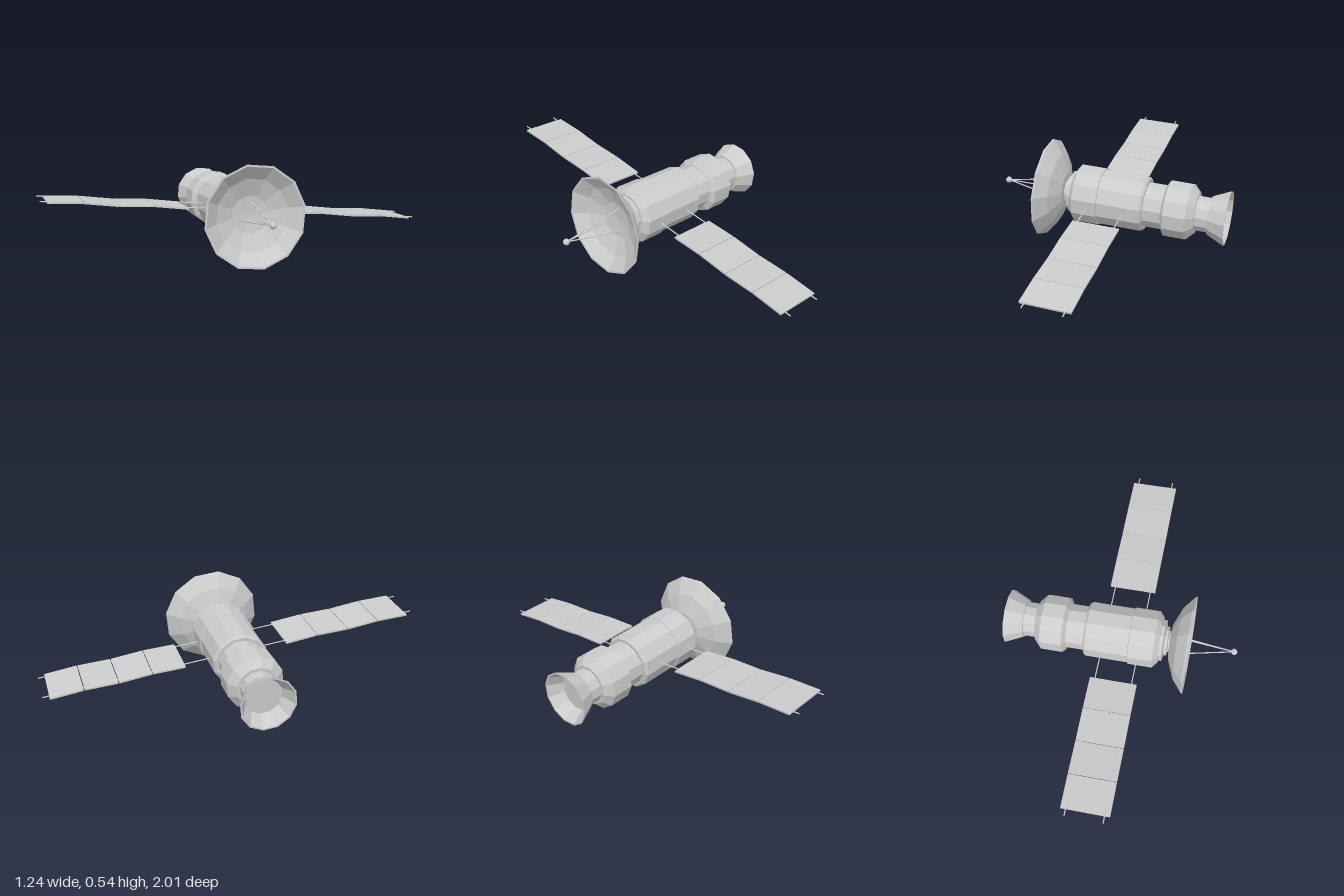
import * as THREE from 'three';

const SIDES = 12;

export function createModel() {
  const root = new THREE.Group();
  root.name = 'satellite';
  const mat = new THREE.MeshStandardMaterial({ color: 0xcccccc, flatShading: true });

  // Craft frame: local x = long axis, z = panel axis
  const axis = new THREE.Vector3(0.926, 0.053, 0.374).normalize();
  const span = new THREE.Vector3(-0.378, 0.104, 0.92);
  span.addScaledVector(axis, -span.dot(axis)).normalize();
  const up = new THREE.Vector3().crossVectors(span, axis);
  const craft = new THREE.Group();
  craft.name = 'craft';
  craft.quaternion.setFromRotationMatrix(new THREE.Matrix4().makeBasis(axis, up, span));
  craft.position.set(0.039, 0.255, -0.002);
  root.add(craft);

  const add = (name, geometry, parent = craft) => {
    const mesh = new THREE.Mesh(geometry, mat);
    mesh.name = name;
    parent.add(mesh);
    return mesh;
  };

  // Faceted solid of revolution along local x; profile holds [radius, x]
  const turned = (name, profile) => {
    const points = profile.map(([r, x]) => new THREE.Vector2(r, x));
    const g = new THREE.LatheGeometry(points, SIDES, Math.PI / SIDES);
    g.rotateZ(-Math.PI / 2);
    return add(name, g);
  };

  // Thin round bar between two points
  const rod = (name, a, b, radius) => {
    const dir = new THREE.Vector3().subVectors(b, a);
    const mesh = add(name, new THREE.CylinderGeometry(radius, radius, dir.length(), 6));
    mesh.position.copy(a).add(b).multiplyScalar(0.5);
    mesh.quaternion.setFromUnitVectors(new THREE.Vector3(0, 1, 0), dir.normalize());
    return mesh;
  };

  // Hull, from engine to dish
  turned('engineBell', [[0, -0.575], [0.1, -0.575], [0.142, -0.652], [0.151, -0.652], [0.106, -0.555], [0, -0.555]]);
  turned('engineNeck', [[0.096, -0.56], [0.096, -0.48]]);
  turned('rearModule', [[0, -0.485], [0.112, -0.485], [0.155, -0.445], [0.155, -0.325], [0.128, -0.308], [0, -0.308]]);
  turned('middleModule', [[0.124, -0.312], [0.124, -0.2]]);
  turned('mainModule', [[0, -0.208], [0.14, -0.208], [0.153, -0.195], [0.153, 0.045]]);
  turned('frontModule', [[0.15, 0.04], [0.16, 0.044], [0.16, 0.178], [0.128, 0.203], [0, 0.203]]);
  turned('frontCollar', [[0.115, 0.2], [0.115, 0.222], [0.085, 0.228], [0, 0.228]]);
  turned('dishMount', [[0.082, 0.225], [0.082, 0.243], [0.06, 0.247], [0.06, 0.265]]);

  // Dish antenna with thickness
  turned('dish', [
    [0, 0.25], [0.1, 0.258], [0.2, 0.299], [0.27, 0.355], [0.275, 0.364],
    [0.264, 0.364], [0.196, 0.31], [0.1, 0.272], [0, 0.262],
  ]);

  // Antenna feed on a tripod
  const tip = new THREE.Vector3(0.606, 0, 0);
  for (let i = 0; i < 3; i++) {
    const a = (i * 2 * Math.PI) / 3;
    const foot = new THREE.Vector3(0.265, Math.cos(a) * 0.068, Math.sin(a) * 0.068);
    rod('feedStrut', foot, tip, 0.0035);
  }
  add('feedBall', new THREE.IcosahedronGeometry(0.018, 1)).position.copy(tip);

  // Panel rods run through the hull to both wing tips
  for (const x of [-0.107, 0.093]) {
    rod('panelRod', new THREE.Vector3(x, 0, -1.048), new THREE.Vector3(x, 0, 1.048), 0.0035);
  }

  // Solar wings: four slightly folded segments each
  const start = 0.284, length = 0.1825, fold = 0.0035;
  for (const side of [1, -1]) {
    const wing = new THREE.Group();
    wing.name = side > 0 ? 'frontWing' : 'backWing';
    craft.add(wing);
    for (let i = 0; i < 4; i++) {
      const panel = add('solarPanel', new THREE.BoxGeometry(0.256, 0.009, length - 0.004), wing);
      panel.position.set(-0.007, 0, side * (start + (i + 0.5) * length));
      panel.rotation.x = side * (i % 2 ? 1 : -1) * Math.atan2(2 * fold, length);
    }
  }
  return root;
}
